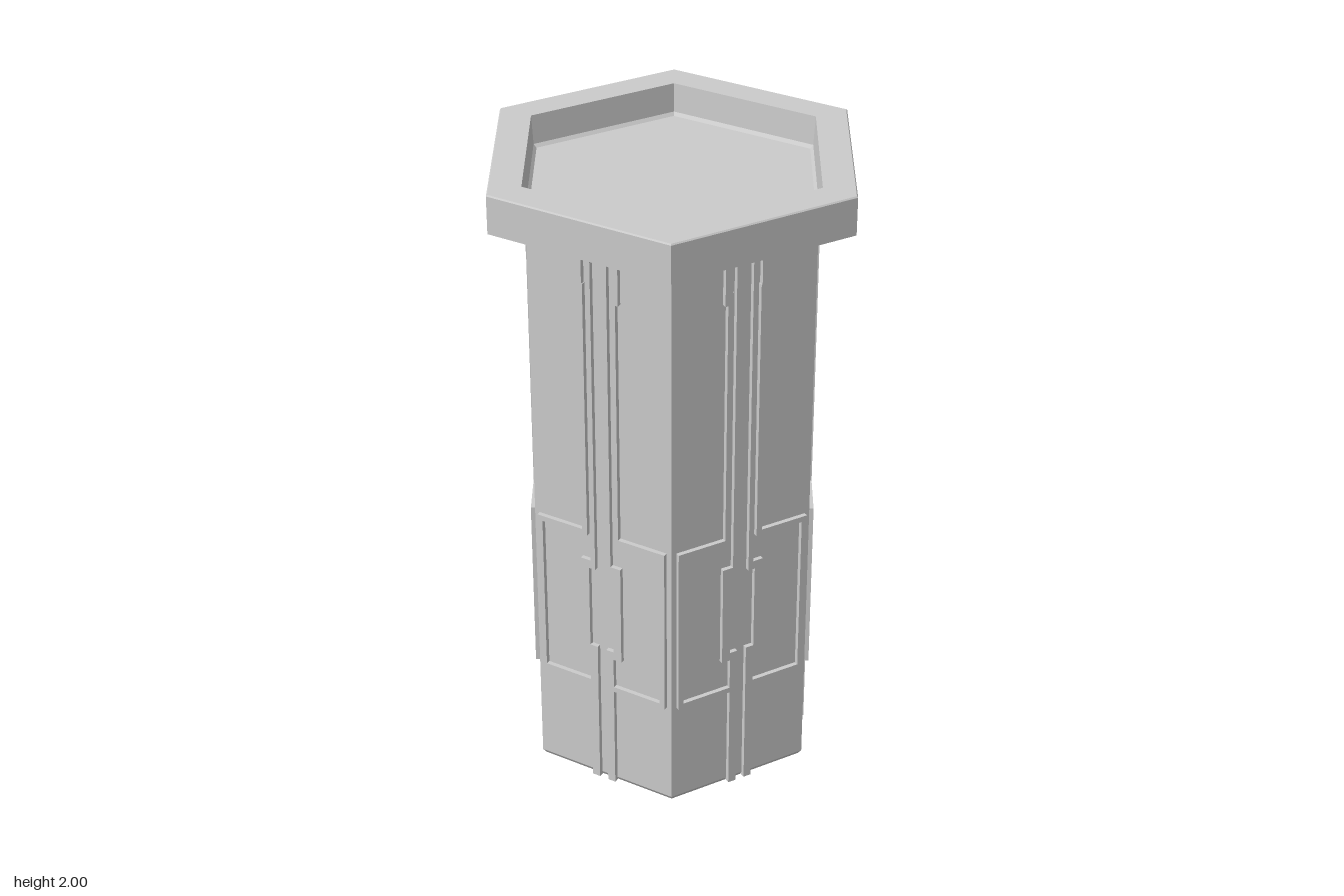
import * as THREE from 'three';

const material = new THREE.MeshStandardMaterial({ color: 0xcccccc, flatShading: true });
const RADIUS = 0.475;                       // column corner radius
const APOTHEM = RADIUS * Math.cos(Math.PI / 6);
const RELIEF = 0.014;                       // height of the raised traces

// Six-sided solid turned from a profile, corners on the x axis
function hexSolid(name, profile) {
  const points = profile.map(([r, y]) => new THREE.Vector2(r, y));
  const turned = new THREE.LatheGeometry(points, 6, Math.PI / 2);
  const geometry = turned.toNonIndexed();
  geometry.computeVertexNormals();
  const mesh = new THREE.Mesh(geometry, material);
  mesh.name = name;
  return mesh;
}

// Raised strip of even width along a path with mitred right-angle turns
function trace(name, path, width, side) {
  const pts = path.map(([x, y]) => new THREE.Vector2(x * side, y));
  const left = [], right = [];
  pts.forEach((p, i) => {
    const before = p.clone().sub(pts[Math.max(i - 1, 0)]).normalize();
    const after = pts[Math.min(i + 1, pts.length - 1)].clone().sub(p).normalize();
    const a = i === 0 ? after : before;
    const b = i === pts.length - 1 ? before : after;
    const miter = new THREE.Vector2(-a.y - b.y, a.x + b.x);
    miter.multiplyScalar(width / (1 + a.dot(b)) / 2);
    left.push(p.clone().add(miter));
    right.unshift(p.clone().sub(miter));
  });
  const geometry = new THREE.ExtrudeGeometry(new THREE.Shape([...left, ...right]), {
    depth: RELIEF + 0.004, bevelEnabled: false,
  });
  geometry.translate(0, 0, APOTHEM - 0.004);
  const mesh = new THREE.Mesh(geometry, material);
  mesh.name = name;
  return mesh;
}

// Circuit-like relief for one column face, mirrored about its middle
function faceRelief() {
  const group = new THREE.Group();
  for (const side of [1, -1]) {
    group.add(
      trace('lowerRail', [[0.028, 0.012], [0.028, 0.498]], 0.026, side),
      trace('centreBracket', [[0.015, 0.498], [0.055, 0.498], [0.055, 0.808], [0.019, 0.808]], 0.028, side),
      trace('innerRail', [[0.027, 0.8], [0.027, 1.885]], 0.016, side),
      trace('panelFrame', [[0.038, 0.372], [0.212, 0.372], [0.212, 0.917], [0.054, 0.917], [0.054, 1.75]], 0.018, side),
      trace('railTip', [[0.06, 1.71], [0.06, 1.835]], 0.024, side),
    );
  }
  return group;
}

export function createModel() {
  const model = new THREE.Group();
  model.name = 'hexagonalPedestal';

  // Shaft with a softened foot
  model.add(hexSolid('column', [
    [0, 0], [RADIUS - 0.035, 0], [RADIUS - 0.012, 0.006], [RADIUS, 0.022], [RADIUS, 1.89],
  ]));

  // Overhanging cap with a shallow tray
  model.add(hexSolid('cap', [
    [0, 1.88], [0.594, 1.88], [0.594, 1.996], [0.59, 2], [0.484, 2], [0.478, 1.91], [0.468, 1.9], [0, 1.9],
  ]));

  // The same relief on all six faces
  for (let i = 0; i < 6; i++) {
    const relief = faceRelief();
    relief.name = `faceRelief${i + 1}`;
    relief.rotation.y = i * Math.PI / 3;
    model.add(relief);
  }
  return model;
}
